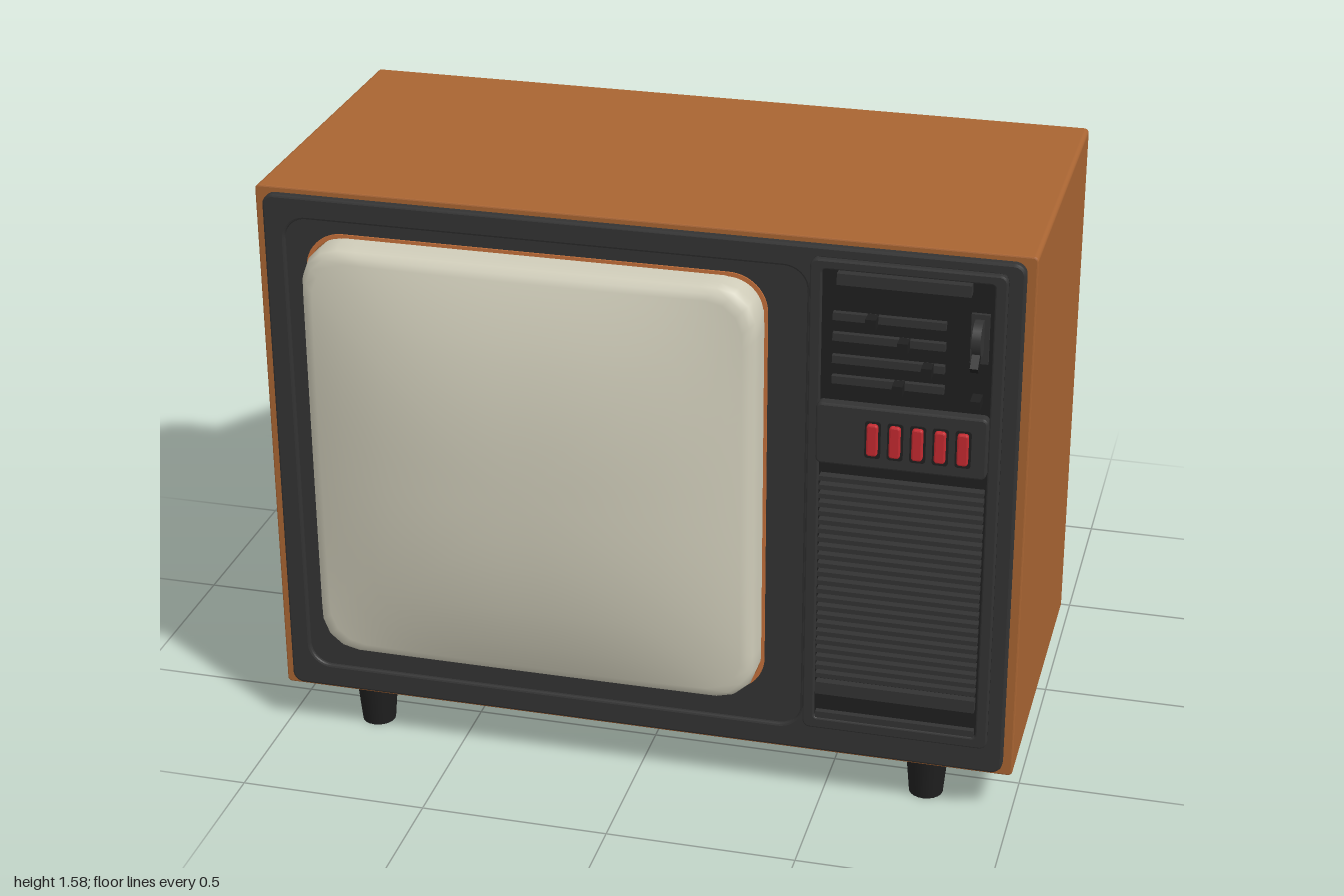
import * as THREE from 'three';
import { mergeGeometries } from 'three/addons/utils/BufferGeometryUtils.js';

const mat = (name, color, side = THREE.FrontSide) =>
  Object.assign(new THREE.MeshStandardMaterial({ color, side }), { name });

export function createModel() {
  const M = {
    wood: mat('wood', 0xa86432),
    charcoal: mat('charcoal plastic', 0x333333, THREE.DoubleSide),
    black: mat('black plastic', 0x1f1f1f),
    cream: mat('cream', 0xcfccb9, THREE.DoubleSide),
    shadow: mat('vent slit', 0x6e6b5e),
    grey: mat('grey metal', 0xb4b6bc),
    red: mat('red', 0xc42a30),
    maroon: mat('maroon', 0x6a1a17),
    orange: mat('orange trim', 0xc4703a),
  };
  const root = new THREE.Group();
  root.name = 'television';
  const V = (x, y, z) => new THREE.Vector3(x, y, z);

  // ---- helpers ----
  const add = (name, geo, m, parent = root) => {
    const mesh = new THREE.Mesh(geo, m);
    mesh.name = name;
    parent.add(mesh);
    return mesh;
  };
  const boxGeo = (x0, x1, y0, y1, z0, z1) => new THREE.BoxGeometry(x1 - x0, y1 - y0, z1 - z0)
    .translate((x0 + x1) / 2, (y0 + y1) / 2, (z0 + z1) / 2);
  const box = (name, m, ...b) => add(name, boxGeo(...b), m);
  const rr = (x0, x1, y0, y1, r) => {
    const s = new THREE.Shape();
    s.moveTo(x0 + r, y0).lineTo(x1 - r, y0).absarc(x1 - r, y0 + r, r, -Math.PI / 2, 0);
    s.lineTo(x1, y1 - r).absarc(x1 - r, y1 - r, r, 0, Math.PI / 2);
    s.lineTo(x0 + r, y1).absarc(x0 + r, y1 - r, r, Math.PI / 2, Math.PI);
    s.lineTo(x0, y0 + r).absarc(x0 + r, y0 + r, r, Math.PI, Math.PI * 1.5);
    return s;
  };
  const slabGeo = (shape, z0, z1, bevel = 0) => new THREE.ExtrudeGeometry(shape, {
    depth: z1 - z0 - 2 * bevel, curveSegments: 8, bevelEnabled: bevel > 0,
    bevelSize: bevel, bevelThickness: bevel, bevelOffset: -bevel, bevelSegments: 2,
  }).translate(0, 0, z0 + bevel);
  const slab = (name, m, shape, z0, z1, bevel) => add(name, slabGeo(shape, z0, z1, bevel), m);
  const holed = (outer, ...holes) => { outer.holes.push(...holes); return outer; };
  const stud = (name, m, x, y, z, r, h) =>
    add(name, new THREE.CylinderGeometry(r, r, h, 14).rotateX(Math.PI / 2).translate(x, y, z), m);

  // ---- cabinet and feet ----
  slab('cabinet', M.wood, rr(-1, 1, 0.12, 1.575, 0.012), -0.27, 0.66, 0.004);
  for (const x of [-0.765, 0.765]) for (const z of [0.59, -0.185])
    add('foot', new THREE.CylinderGeometry(0.057, 0.045, 0.13, 20).translate(x, 0.065, z), M.black);

  // ---- front bezel ----
  slab('bezel', M.charcoal, holed(rr(-0.975, 0.975, 0.135, 1.56, 0.03),
    rr(-0.865, 0.34, 0.285, 1.465, 0.1)), 0.655, 0.67);
  slab('bezelRim', M.charcoal, holed(rr(-0.975, 0.975, 0.135, 1.56, 0.03),
    rr(-0.92, 0.44, 0.2, 1.5, 0.06)), 0.66, 0.682, 0.006);
  slab('screenTrim', M.orange, holed(rr(-0.866, 0.341, 0.284, 1.466, 0.1),
    rr(-0.855, 0.33, 0.295, 1.455, 0.09)), 0.655, 0.674);

  // ---- bulging picture tube, built from rounded loops ----
  const N = 96, cx = -0.2625, cy = 0.875;
  const rim = rr(-0.595, 0.595, -0.582, 0.582, 0.1).getSpacedPoints(N).slice(0, N);
  const scales = [0, 0.12, 0.24, 0.36, 0.48, 0.6, 0.7, 0.8, 0.88, 0.94, 0.97, 0.99, 1, 1];
  const drop = [0, 0, 0, 0, 0, 0, 0, 0, 0, 0, 0, 0.012, 0.035, 0.1];
  const pos = [], idx = [];
  scales.forEach((s, k) => rim.forEach((p, i) => {
    const a = Math.min(1, Math.abs(p.x * s) / 0.595), b = Math.min(1, Math.abs(p.y * s) / 0.582);
    const z = 0.755 + 0.1 * (1 - a ** 2.6) * (1 - b ** 2.6) - drop[k];
    pos.push(cx + p.x * s, cy + p.y * s, z);
    if (k) {
      const j = (i + 1) % N, o = (k - 1) * N, q = k * N;
      if (k > 1) idx.push(o + i, q + j, o + j);
      idx.push(o + i, q + i, q + j);
    }
  }));
  const tube = new THREE.BufferGeometry();
  tube.setAttribute('position', new THREE.Float32BufferAttribute(pos, 3));
  tube.setIndex(idx);
  tube.computeVertexNormals();
  // the centre loop is collapsed, so give it a plain forward normal
  for (let i = 0; i < N; i++) tube.attributes.normal.setXYZ(i, 0, 0, 1);
  add('screen', tube, M.cream);

  // ---- control panel ----
  slab('controlPanel', M.black, rr(0.45, 0.935, 0.215, 1.535, 0.02), 0.66, 0.69, 0.005);
  slab('controlFrame', M.charcoal, holed(rr(0.45, 0.935, 0.215, 1.535, 0.02),
    rr(0.48, 0.905, 0.245, 1.51, 0.01)), 0.67, 0.702, 0.004);
  box('topLip', M.charcoal, 0.52, 0.85, 1.478, 1.508, 0.68, 0.715);
  [[1.39, 0.61], [1.335, 0.69], [1.275, 0.75], [1.22, 0.68]].forEach(([y, kx]) => {
    box('sliderTrack', M.charcoal, 0.51, 0.79, y - 0.01, y + 0.01, 0.68, 0.705);
    box('sliderKnob', M.black, kx - 0.013, kx + 0.013, y - 0.014, y + 0.014, 0.7, 0.738);
  });
  add('tuningWheel', new THREE.CylinderGeometry(0.045, 0.045, 0.022, 24)
    .rotateZ(Math.PI / 2).translate(0.872, 1.375, 0.715), M.charcoal);
  add('tuningLever', new THREE.BoxGeometry(0.02, 0.02, 0.07)
    .rotateX(0.7).translate(0.872, 1.335, 0.745), M.black);
  box('wheelSlot', M.charcoal, 0.85, 0.895, 1.3, 1.43, 0.685, 0.7);
  box('switchKnob', M.black, 0.86, 0.885, 1.19, 1.215, 0.68, 0.738);
  slab('buttonPlate', M.charcoal, rr(0.475, 0.905, 0.995, 1.16, 0.015), 0.68, 0.72, 0.005);
  for (let i = 0; i < 5; i++) {
    const x = 0.62 + i * 0.0565;
    slab('channelWell', M.black, rr(x - 0.02, x + 0.02, 1.025, 1.125, 0.008), 0.71, 0.723);
    slab('channelButton', M.red, rr(x - 0.014, x + 0.014, 1.035, 1.12, 0.008), 0.71, 0.735, 0.004);
  }
  const slats = [];
  for (let i = 0; i < 24; i++) {
    const y = 0.375 + i * 0.0247;
    slats.push(boxGeo(0.485, 0.9, y, y + 0.013, 0.68, 0.714));
  }
  add('speakerGrille', mergeGeometries(slats), M.charcoal);
  box('lowerFlap', M.charcoal, 0.485, 0.9, 0.325, 0.36, 0.68, 0.712);
  box('lowerFlapBase', M.charcoal, 0.485, 0.9, 0.25, 0.268, 0.68, 0.706);

  // ---- back plate ----
  slab('backPlate', M.grey, rr(-0.975, 0.975, 0.14, 1.56, 0.04), -0.278, -0.26);
  slab('backPlateRim', M.grey, holed(rr(-0.975, 0.975, 0.14, 1.56, 0.04),
    rr(-0.955, 0.955, 0.16, 1.54, 0.03)), -0.286, -0.26);
  for (const x of [-0.935, 0.935]) for (const y of [0.18, 1.52])
    stud('plateScrew', M.grey, x, y, -0.285, 0.016, 0.02);
  box('rearLabel', M.black, 0.58, 0.925, 0.94, 1.22, -0.287, -0.278);
  box('socketStrip', M.black, 0.585, 0.645, 0.6, 0.9, -0.284, -0.27);
  for (const y of [0.64, 0.71, 0.785, 0.86]) stud('rearKnob', M.black, 0.615, y, -0.285, 0.02, 0.03);
  slab('terminalBoard', M.orange, rr(0.66, 0.925, 0.19, 0.56, 0.01), -0.283, -0.27);
  stud('terminalTab', M.orange, 0.79, 0.56, -0.277, 0.05, 0.012);
  box('aerialPanel', M.maroon, 0.675, 0.91, 0.345, 0.545, -0.289, -0.28);
  box('fusePanel', M.red, 0.69, 0.895, 0.21, 0.325, -0.289, -0.28);
  for (const x of [0.73, 0.793, 0.856]) {
    box('terminalPin', M.grey, x - 0.008, x + 0.008, 0.4, 0.5, -0.294, -0.285);
    stud('terminalHead', M.grey, x, 0.45, -0.291, 0.017, 0.01);
    for (const y of [0.24, 0.29]) box('fuse', M.maroon, x - 0.018, x + 0.018, y - 0.012, y + 0.012, -0.293, -0.285);
  }

  // ---- tapered rear housing, one flat panel per side ----
  const ring = (x0, x1, y0, y1, z) => [V(x1, y0, z), V(x0, y0, z), V(x0, y1, z), V(x1, y1, z)];
  const F = ring(-0.94, 0.56, 0.185, 1.45, -0.275), B = ring(-0.81, 0.42, 0.28, 1.315, -0.685);
  const flat = (g, p) => { const l = g.worldToLocal(p.clone()); return new THREE.Vector2(l.x, l.y); };
  const panel = (name, c, hole) => {
    const g = new THREE.Group();
    g.name = name;
    const u = c[1].clone().sub(c[0]).normalize();
    const n = u.clone().cross(c[3].clone().sub(c[0])).normalize();
    g.quaternion.setFromRotationMatrix(new THREE.Matrix4().makeBasis(u, n.clone().cross(u), n));
    g.position.copy(c[0]);
    g.updateMatrixWorld();
    const s = new THREE.Shape(c.map(p => flat(g, p)));
    if (hole) s.holes.push(new THREE.Path(hole.map(p => flat(g, p))));
    add(name + 'Skin', new THREE.ShapeGeometry(s), M.cream, g);
    root.add(g);
    return g;
  };
  // a row of hooded slots between two points on a panel
  const vents = (g, p0, p1, n, len) => {
    const a = flat(g, p0), b = flat(g, p1), h = len / 2, slits = [], hoods = [];
    for (let i = 0; i < n; i++) {
      const p = a.clone().lerp(b, i / (n - 1));
      slits.push(slabGeo(rr(-0.018, 0.018, -h, h, 0.015), 0, 0.003).translate(p.x, p.y, 0));
      hoods.push(slabGeo(rr(-0.011, 0.011, -h + 0.004, h - 0.01, 0.01), 0, 0.011).translate(p.x, p.y, 0));
    }
    add('ventSlits', mergeGeometries(slits), M.shadow, g);
    add('ventHoods', mergeGeometries(hoods), M.cream, g);
  };
  const top = panel('housingTop', [B[3], B[2], F[2], F[3]]);
  panel('housingBottom', [F[0], F[1], B[1], B[0]]);
  for (const [z, x0, x1] of [[-0.345, -0.88, 0.47], [-0.495, -0.83, 0.42], [-0.635, -0.79, 0.38]]) {
    const y = 1.45 - 0.135 * (-0.275 - z) / 0.41;
    vents(top, V(x0, y, z), V(x1, y, z), 27, 0.065);
  }
  const px = -0.115, py = 0.855, ph = 0.365;
  const back = panel('housingBack', B, ring(px - ph, px + ph, py - ph, py + ph, -0.685));
  for (const y of [0.335, 1.268]) vents(back, V(0.39, y, -0.685), V(-0.78, y, -0.685), 26, 0.065);
  for (const x of [-0.71, 0.31]) for (const y of [0.46, 1.17])
    stud('housingScrew', M.grey, x, y, -0.688, 0.014, 0.016);

  // side panels with a sloping grip pocket
  for (const left of [true, false]) {
    const at = (y, z) => {
      const t = (-0.275 - z) / 0.41;
      return V(left ? 0.56 - 0.14 * t : -0.94 + 0.13 * t, y, z);
    };
    const hole = [at(1.34, -0.31), at(1.265, -0.6), at(1.145, -0.595), at(1.155, -0.31)];
    const g = panel(left ? 'housingLeft' : 'housingRight',
      left ? [F[0], B[0], B[3], F[3]] : [B[1], F[1], F[2], B[2]], hole);
    vents(g, at(0.43, -0.33), at(0.43, -0.64), 8, 0.065);
    const [a, b, c, d] = hole.map(p => { const q = flat(g, p); return V(q.x, q.y, 0); });
    const a2 = a.clone().setZ(-0.07), b2 = b.clone().setZ(-0.07);
    add('gripPocket', new THREE.BufferGeometry().setFromPoints(
      [d, c, b2, d, b2, a2, a, a2, b2, a, b2, b, d, a2, a, c, b, b2]), M.cream, g)
      .geometry.computeVertexNormals();
  }

  // ---- dark tube-neck cover sunk into the housing ----
  const q = Math.SQRT2;
  const square = (r0, r1, h, open, z) => new THREE.CylinderGeometry(r0 * q, r1 * q, h, 4, 1, open)
    .toNonIndexed().rotateY(Math.PI / 4).rotateX(-Math.PI / 2).translate(px, py, z);
  const cover = square(0.155, ph, 0.27, false, -0.72), well = square(ph, ph, 0.1, true, -0.636);
  cover.computeVertexNormals();
  well.computeVertexNormals();
  add('neckCover', cover, M.charcoal);
  add('neckCoverWell', well, M.charcoal);
  box('coverLatch', M.black, px - 0.045, px + 0.045, 1.06, 1.125, -0.745, -0.66);
  return root;
}
